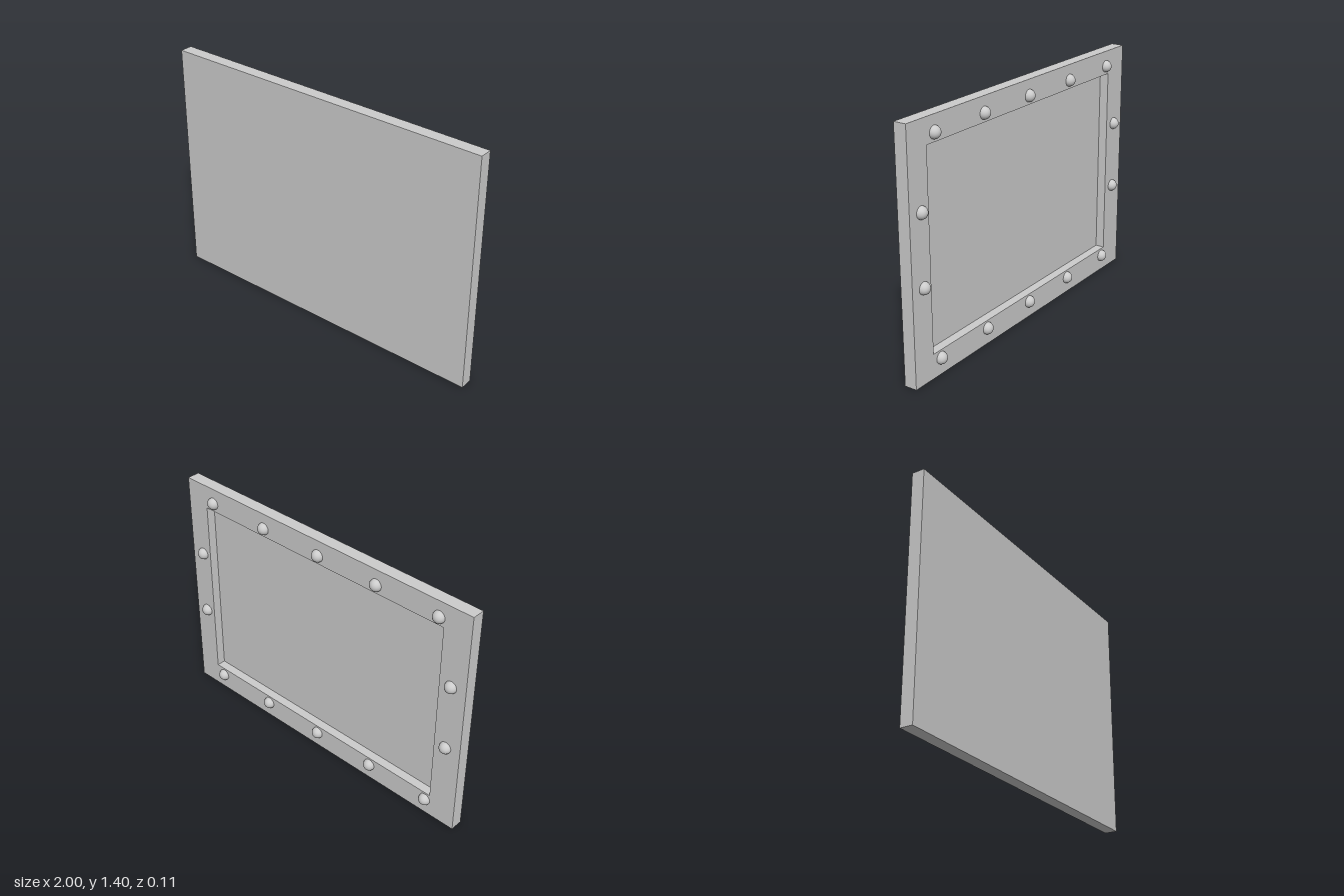
import * as THREE from 'three';

export function createModel() {
  const model = new THREE.Group();
  const material = new THREE.MeshStandardMaterial({ color: 0xcccccc });
  const front = 0.054, floor = 0.033, back = -0.02, height = 1.4;

  const rectangle = (Type, x0, x1, y0, y1) => new Type([
    new THREE.Vector2(x0, y0), new THREE.Vector2(x1, y0),
    new THREE.Vector2(x1, y1), new THREE.Vector2(x0, y1),
  ]);

  // Slab from z0 to z1, cut from an outline
  const addSlab = (name, shape, z0, z1) => {
    const geometry = new THREE.ExtrudeGeometry(shape, { depth: z1 - z0, bevelEnabled: false });
    geometry.translate(0, 0, z0);
    const mesh = new THREE.Mesh(geometry, material);
    mesh.name = name;
    model.add(mesh);
  };

  // Solid front panel
  addSlab('frontPanel', rectangle(THREE.Shape, -1, 1, 0, height), floor, front);

  // Raised rim around the recess at the back
  const rim = rectangle(THREE.Shape, -1, 1, 0, height);
  rim.holes.push(rectangle(THREE.Path, -0.834, 0.856, 0.14, 1.26));
  addSlab('backFrame', rim, back, floor);

  // Domed studs on the rim, with the dome pointing backwards
  const dome = new THREE.SphereGeometry(0.035, 32, 12, 0, Math.PI * 2, 0, Math.PI / 2);
  dome.rotateX(-Math.PI / 2);
  const studs = new THREE.Group();
  studs.name = 'studs';
  const addStud = (x, y) => {
    const stud = new THREE.Mesh(dome, material);
    stud.name = 'stud';
    stud.position.set(x, y, back);
    studs.add(stud);
  };
  for (const y of [0.095, 1.31]) {
    for (let i = -2; i <= 2; i++) addStud(i * 0.4 - 0.003, y);
  }
  for (const y of [0.535, 0.935]) {
    for (const x of [-0.908, 0.913]) addStud(x, y);
  }
  model.add(studs);

  return model;
}
